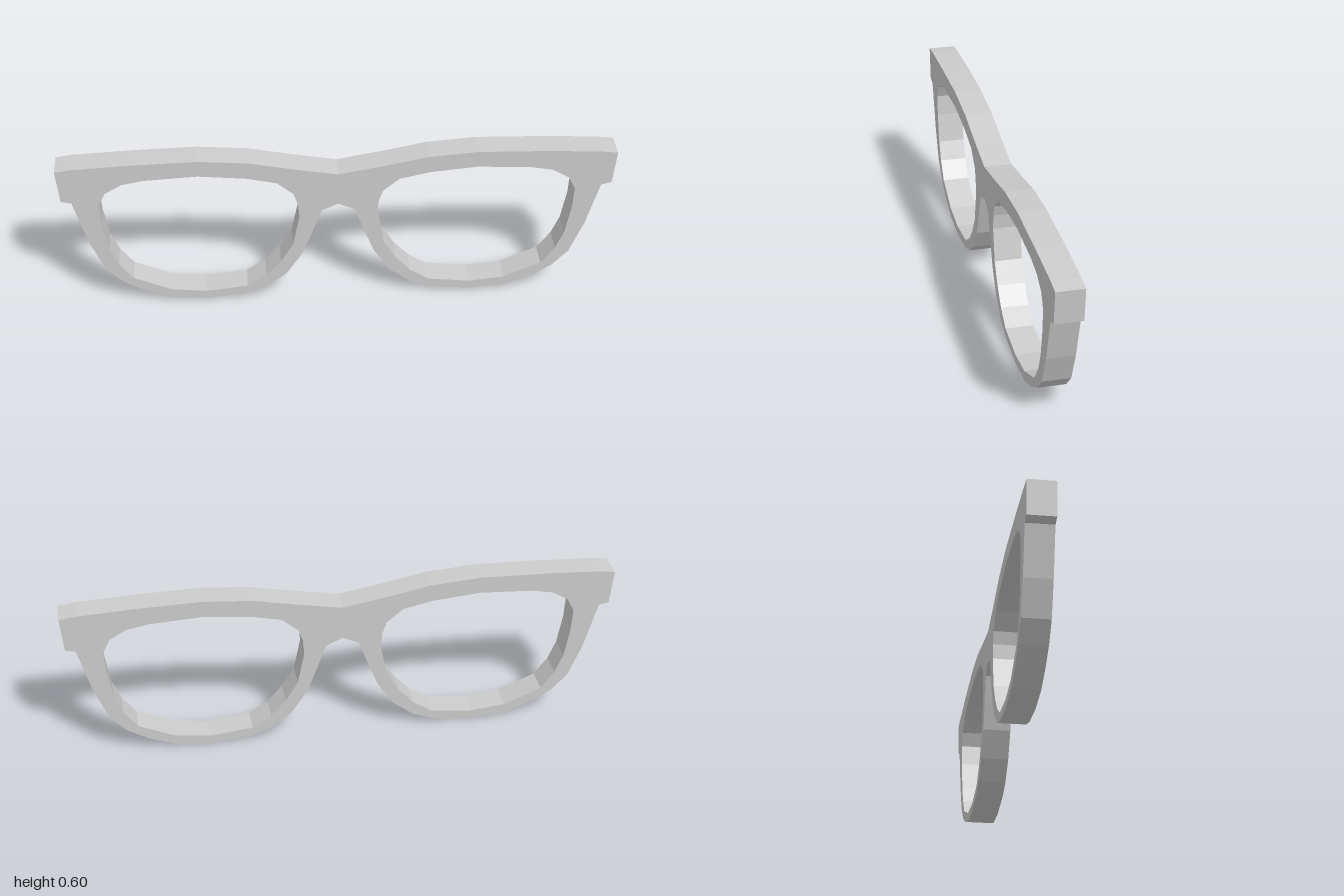
import * as THREE from 'three';

const DEPTH = 0.1;

// Left half of the frame outline, from the top of the bridge round to its underside
const OUTLINE = [
  [0, 0.528], [0.17, 0.558], [0.32, 0.588], [0.5, 0.602], [0.74, 0.596], [0.94, 0.586], [1, 0.578],
  [0.987, 0.453], [0.95, 0.444], [0.9, 0.272], [0.85, 0.153], [0.79, 0.091], [0.72, 0.05],
  [0.62, 0.011], [0.49, 0], [0.35, 0.014], [0.27, 0.04], [0.19, 0.1], [0.13, 0.19],
  [0.095, 0.28], [0.06, 0.375], [0, 0.402],
];

// Left lens opening
const LENS = [
  [0.5, 0.54], [0.69, 0.53], [0.77, 0.515], [0.83, 0.48], [0.855, 0.43], [0.85, 0.35], [0.83, 0.24],
  [0.8, 0.17], [0.75, 0.105], [0.615, 0.047], [0.487, 0.033], [0.335, 0.05], [0.265, 0.095],
  [0.21, 0.155], [0.165, 0.23], [0.14, 0.35], [0.145, 0.405], [0.16, 0.45], [0.22, 0.5], [0.33, 0.524],
];

const toPoints = (pairs) => pairs.map(([x, y]) => new THREE.Vector2(x, y));
const mirror = (pairs) => pairs.map(([x, y]) => [-x, y]).reverse();

export function createModel() {
  const group = new THREE.Group();
  group.name = 'glasses';

  // Counter-clockwise outline with both lens openings cut out clockwise
  const outline = [...OUTLINE, ...mirror(OUTLINE.slice(1, -1))];
  const shape = new THREE.Shape(toPoints(outline.reverse()));
  for (const lens of [LENS, mirror(LENS)]) shape.holes.push(new THREE.Path(toPoints(lens)));

  const geometry = new THREE.ExtrudeGeometry(shape, { depth: DEPTH, bevelEnabled: false });
  geometry.translate(0, 0, -DEPTH / 2);

  const frame = new THREE.Mesh(
    geometry,
    new THREE.MeshStandardMaterial({ color: 0xcccccc, flatShading: true }),
  );
  frame.name = 'glassesFrame';
  group.add(frame);
  return group;
}
